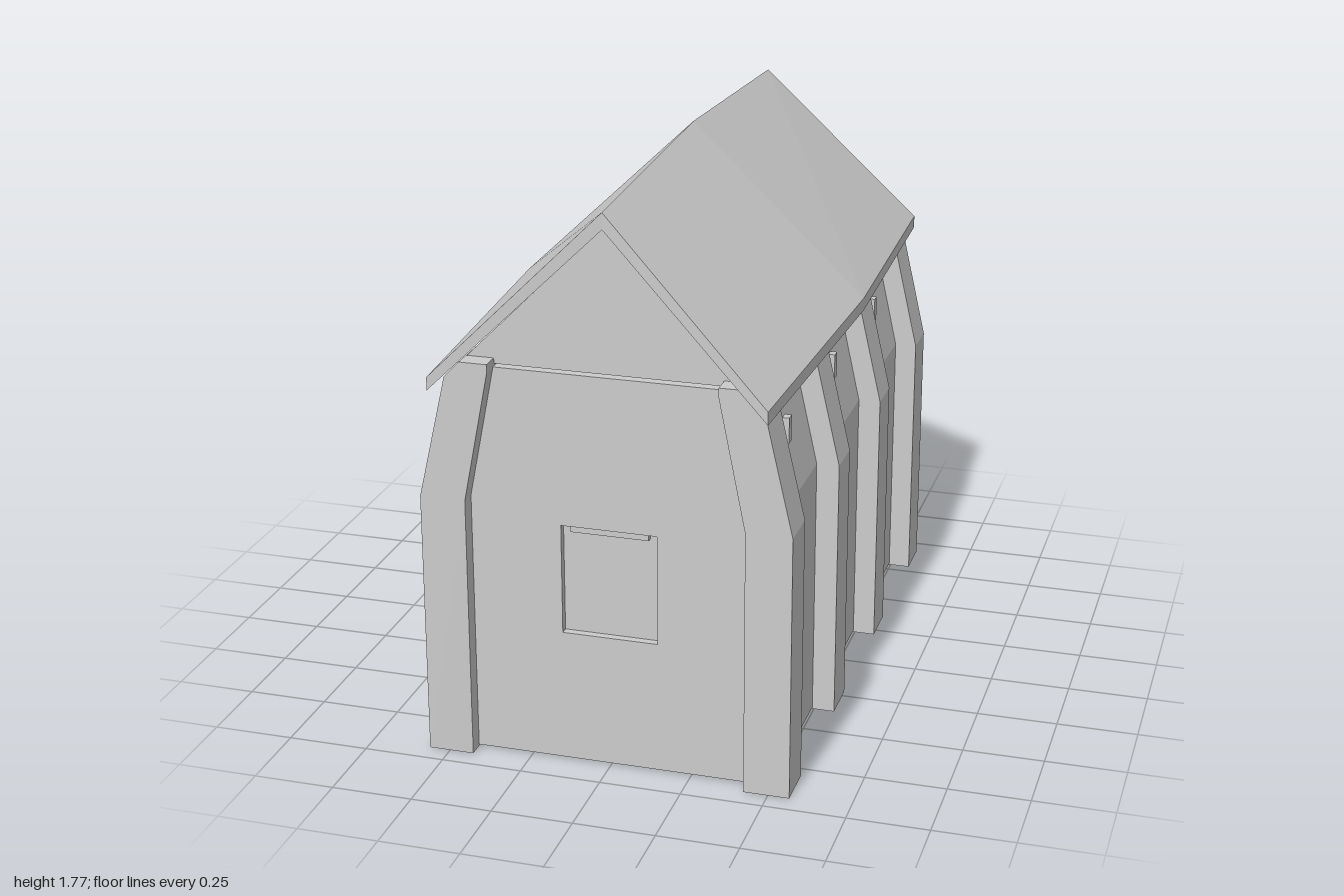
import * as THREE from 'three';

const material = new THREE.MeshStandardMaterial({ color: 0xcccccc, flatShading: true, side: THREE.DoubleSide });

function outline(points, mirror = 1) {
  return new THREE.Shape(points.map(([x, y]) => new THREE.Vector2(x * mirror, y)));
}

// Extrude an x-y outline along z between z0 and z1
function slab(name, shape, z0, z1) {
  const geometry = new THREE.ExtrudeGeometry(shape, { depth: z1 - z0, bevelEnabled: false });
  geometry.translate(0, 0, z0);
  const mesh = new THREE.Mesh(geometry, material);
  mesh.name = name;
  return mesh;
}

function box(name, w, h, d, x, y, z) {
  const mesh = new THREE.Mesh(new THREE.BoxGeometry(w, h, d), material);
  mesh.name = name;
  mesh.position.set(x, y, z);
  return mesh;
}

// Folded roof with a raised middle and slanted gable ends
function roofGeometry() {
  const section = (eaveX, eaveY, ridgeY, eaveZ, ridgeZ) => [
    [eaveX, eaveY - 0.04, eaveZ], [eaveX, eaveY, eaveZ], [0, ridgeY, ridgeZ],
    [-eaveX, eaveY, eaveZ], [-eaveX, eaveY - 0.04, eaveZ], [0, ridgeY - 0.05, ridgeZ],
  ];
  const sections = [
    section(0.505, 1.23, 1.735, 1, 0.91),
    section(0.55, 1.25, 1.775, 0, 0),
    section(0.505, 1.23, 1.735, -1, -0.91),
  ];
  const index = [];
  for (let s = 0; s < 2; s++) {
    for (let i = 0; i < 6; i++) {
      const j = (i + 1) % 6;
      const a = s * 6 + i, b = s * 6 + j, c = b + 6, d = a + 6;
      if ((i < 2) !== (s === 1)) index.push(a, d, b, d, c, b);
      else index.push(a, d, c, a, c, b);
    }
  }
  for (const [a, b, c, d] of [[0, 1, 2, 5], [5, 2, 3, 4]]) {
    index.push(a, b, c, a, c, d);
    index.push(a + 12, c + 12, b + 12, a + 12, d + 12, c + 12);
  }
  const geometry = new THREE.BufferGeometry();
  geometry.setAttribute('position', new THREE.Float32BufferAttribute(sections.flat(2), 3));
  geometry.setIndex(index);
  const flat = geometry.toNonIndexed();
  flat.computeVertexNormals();
  return flat;
}

export function createModel() {
  const model = new THREE.Group();
  model.name = 'barn';

  const roof = new THREE.Mesh(roofGeometry(), material);
  roof.name = 'roof';
  model.add(roof);

  const postProfile = [
    [0.425, 0], [0.565, 0], [0.565, 0.83], [0.477, 1.213],
    [0.43, 1.262], [0.345, 1.262], [0.345, 1.235], [0.425, 0.83],
  ];
  const sideProfile = [
    [0.455, 0.005], [0.495, 0.005], [0.495, 0.83], [0.395, 1.28], [0.355, 1.28], [0.455, 0.83],
  ];

  for (const side of [1, -1]) {
    const label = side > 0 ? 'left' : 'right';

    // Bent posts along each side
    for (const z of [0.865, 0.292, -0.287, -0.86]) {
      model.add(slab(`${label}Post`, outline(postProfile, side), z - 0.071, z + 0.071));
    }

    // Side wall, leaning inward above the bend
    model.add(slab(`${label}Wall`, outline(sideProfile, side), -0.86, 0.86));

    // Small brackets on the leaning panels
    for (const z of [0.58, 0, -0.58]) {
      model.add(box(`${label}Bracket`, 0.03, 0.08, 0.03, side * 0.45, 1.02, z));
    }
  }

  // End walls and gables
  const endProfile = [
    [-0.46, 0.005], [0.46, 0.005], [0.46, 0.83], [0.38, 1.238], [-0.38, 1.238], [-0.46, 0.83],
  ];
  const gableProfile = [[-0.445, 1.245], [0.445, 1.245], [0, 1.69]];
  const frontShape = outline(endProfile);
  frontShape.holes.push(new THREE.Path([
    new THREE.Vector2(-0.147, 0.42), new THREE.Vector2(-0.147, 0.765),
    new THREE.Vector2(0.147, 0.765), new THREE.Vector2(0.147, 0.42),
  ]));
  model.add(slab('frontWall', frontShape, 0.845, 0.885));
  model.add(slab('backWall', outline(endProfile), -0.885, -0.845));
  model.add(slab('frontGable', outline(gableProfile), 0.835, 0.875));
  model.add(slab('backGable', outline(gableProfile), -0.875, -0.835));

  // Recessed front hatch with a narrow top lip
  model.add(box('hatchPanel', 0.296, 0.347, 0.015, 0, 0.5925, 0.8525));
  model.add(box('hatchLip', 0.24, 0.02, 0.02, 0, 0.755, 0.868));

  return model;
}
